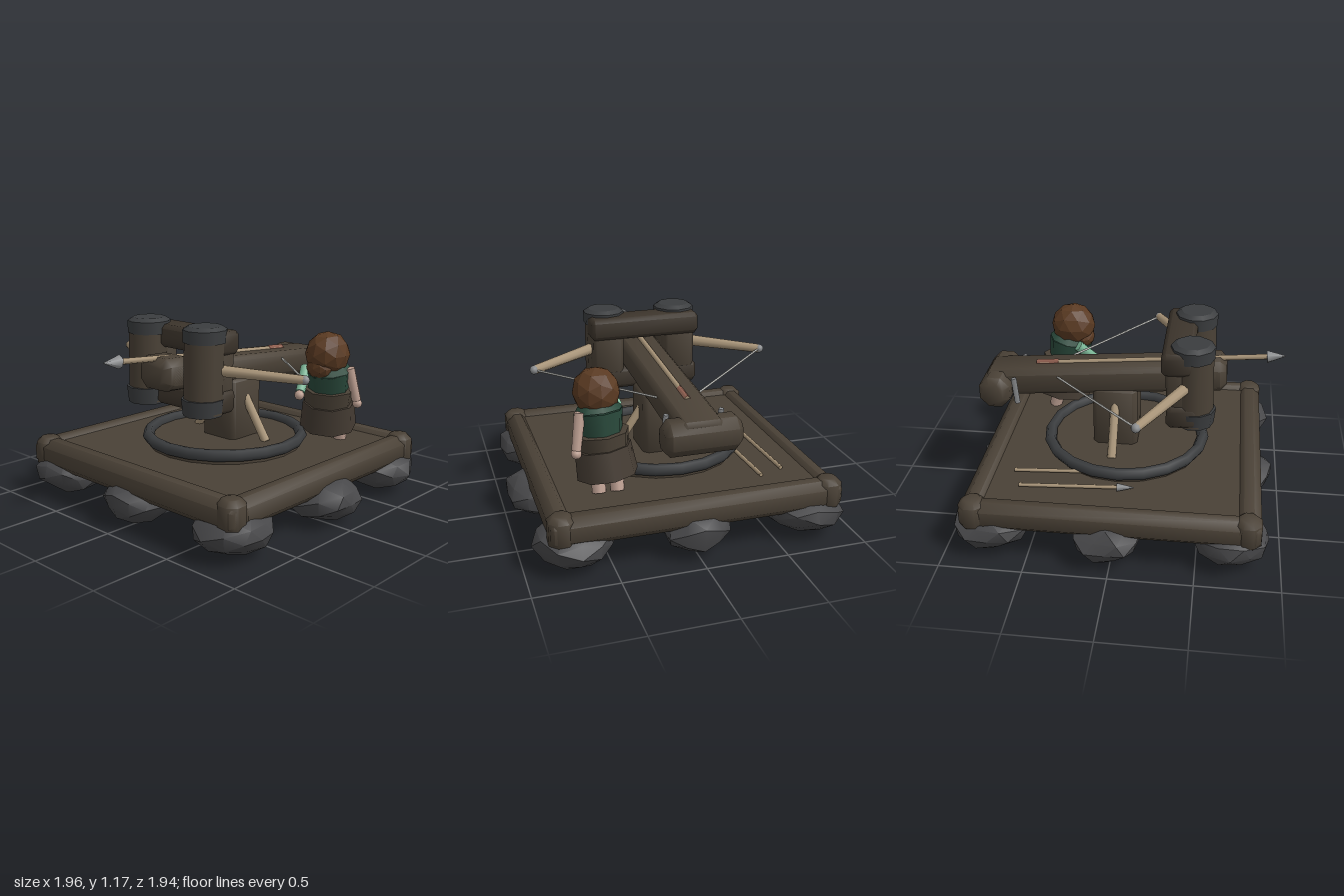
import * as THREE from 'three';
import { toCreasedNormals } from 'three/addons/utils/BufferGeometryUtils.js';

const mat = (color, flatShading = false) => new THREE.MeshStandardMaterial({ color, flatShading });
const V = (a) => new THREE.Vector3(...a);

export function createModel() {
  const root = new THREE.Group();
  const wood = mat(0x4a4136), darkWood = mat(0x3d352c), pale = mat(0xa89478), stone = mat(0x48484a);
  const iron = mat(0x3b3d3f), steel = mat(0x8a8c8e), cord = mat(0xb4b4b0), skin = mat(0xc0a294);
  const hair = mat(0x5a3a22, true), green = mat(0x2a4a3c), mint = mat(0x7cb898), leather = mat(0x453c33);
  const red = mat(0x9a6656);

  const add = (name, geo, material, pos = [0, 0, 0]) => {
    const m = new THREE.Mesh(geo, material);
    m.name = name;
    m.position.set(...pos);
    root.add(m);
    return m;
  };

  // Timber with softened edges, running from a to b
  const beam = (name, a, b, w, h, material = wood, c = 0.03, e = 0.02) => {
    const x = w / 2, y = h / 2, len = V(a).distanceTo(V(b));
    const s = new THREE.Shape([
      [x - c, -y], [x, -y + c], [x, y - c], [x - c, y], [c - x, y], [-x, y - c], [-x, c - y], [c - x, -y],
    ].map(([u, v]) => new THREE.Vector2(u, v)));
    const g = new THREE.ExtrudeGeometry(s, {
      depth: len - 2 * e, bevelEnabled: true, bevelSegments: 1, bevelThickness: e, bevelSize: e, bevelOffset: -e,
    });
    g.translate(0, 0, e);
    const m = add(name, toCreasedNormals(g, 0.9), material, a);
    m.lookAt(V(b));
    return m;
  };

  // Round rod from a (radius ra) to b (radius rb)
  const rod = (name, a, b, ra, rb, material, sides = 8) => {
    const d = V(b).sub(V(a));
    const g = new THREE.CylinderGeometry(rb, ra, d.length(), sides);
    const m = add(name, g, material, V(a).add(V(b)).multiplyScalar(0.5).toArray());
    m.quaternion.setFromUnitVectors(new THREE.Vector3(0, 1, 0), d.normalize());
    return m;
  };

  const bolt = (name, tail, tip, r, headLength, headRadius) => {
    const neck = V(tip).lerp(V(tail), headLength / V(tip).distanceTo(V(tail))).toArray();
    rod(name + 'Shaft', tail, neck, r, r, pale, 6);
    rod(name + 'Head', neck, tip, headRadius, 0.004, steel, 6);
  };

  // Foundation stones: lumpy, widest above the middle and tapering to the ground
  const rock = (x, z, rx, rz, seed) => {
    const g = new THREE.IcosahedronGeometry(1, 1), p = g.attributes.position;
    for (let i = 0; i < p.count; i++) {
      const [px, py, pz] = [p.getX(i), p.getY(i), p.getZ(i)];
      const k = Math.sin(Math.round(px * 50) * 1.3 + Math.round(py * 50) * 2.7
        + Math.round(pz * 50) * 4.1 + seed) * 0.07 + 0.98;
      const taper = k * (1 + 0.12 * py);
      p.setXYZ(i, px * taper * rx, py * k * 0.137, pz * taper * rz);
    }
    add('foundationStone', toCreasedNormals(g, 0.6), stone, [x, 0.145, z]);
  };
  [[-0.71, -0.72, 0.245, 0.24], [-0.01, -0.75, 0.215, 0.225], [0.7, -0.71, 0.245, 0.235],
    [-0.76, -0.02, 0.24, 0.215], [0.76, -0.03, 0.24, 0.23],
    [-0.71, 0.7, 0.24, 0.225], [-0.01, 0.74, 0.215, 0.225], [0.7, 0.7, 0.24, 0.23],
  ].forEach(([x, z, rx, rz], i) => rock(x, z, rx, rz, i * 2.3));

  // Platform
  add('deck', new THREE.BoxGeometry(1.56, 0.13, 1.56), wood, [-0.01, 0.275, -0.01]);
  for (const z of [-0.815, 0.795]) beam('edgeBeam', [-0.89, 0.275, z], [0.86, 0.275, z], 0.15, 0.18, wood, 0.045);
  for (const x of [-0.82, 0.79]) beam('sideBeam', [x, 0.275, -0.88], [x, 0.275, 0.86], 0.14, 0.18, wood, 0.045);
  for (const x of [-0.82, 0.79]) {
    for (const z of [-0.815, 0.795]) beam('cornerPost', [x, 0.18, z], [x, 0.375, z], 0.155, 0.155, wood, 0.045, 0.03);
  }

  // Turntable disc and its iron rim
  add('turntable', new THREE.CylinderGeometry(0.495, 0.495, 0.05, 20), wood, [-0.01, 0.36, 0]);
  const ring = add('turntableRim', new THREE.TorusGeometry(0.495, 0.037, 6, 20), iron, [-0.01, 0.395, 0]);
  ring.rotation.x = Math.PI / 2;

  // Central post and its braces
  beam('post', [-0.005, 0.33, -0.06], [-0.005, 0.775, -0.06], 0.28, 0.28, wood, 0.03);
  for (const s of [-1, 1]) rod('brace', [s * 0.3 - 0.01, 0.38, -0.06], [s * 0.1 - 0.01, 0.68, -0.06], 0.028, 0.028, pale);

  // Sloping stock with rounded nose and winding roller
  beam('stock', [-0.01, 0.76, -0.87], [-0.01, 0.88, 0.58], 0.26, 0.17, wood, 0.03);
  beam('noseBlock', [-0.01, 0.875, 0.4], [-0.01, 0.885, 0.625], 0.26, 0.195, wood, 0.045, 0.04);
  beam('windingRoller', [-0.245, 0.745, -0.805], [0.21, 0.745, -0.805], 0.19, 0.2, wood, 0.055, 0.035);
  for (const x of [-0.18, 0.15]) rod('triggerPin', [x, 0.665, -0.67], [x, 0.835, -0.685], 0.018, 0.018, steel, 4);

  // Bow frame: capped columns joined by rails
  for (const x of [-0.25, 0.23]) {
    rod('column', [x, 0.66, 0.435], [x, 1.14, 0.42], 0.122, 0.122, wood, 10);
    rod('lowerCap', [x, 0.65, 0.44], [x, 0.75, 0.44], 0.12, 0.13, iron, 10);
    rod('upperCap', [x, 1.08, 0.42], [x, 1.155, 0.42], 0.13, 0.132, iron, 10);
    rod('capTop', [x, 1.155, 0.42], [x, 1.175, 0.42], 0.132, 0.1, iron, 10);
    beam('upright', [x, 0.68, 0.36], [x, 1.12, 0.34], 0.2, 0.16, wood, 0.02);
  }
  beam('upperRail', [-0.37, 1.07, 0.335], [0.345, 1.07, 0.335], 0.19, 0.14, darkWood, 0.025);
  beam('lowerRail', [-0.37, 0.725, 0.37], [0.345, 0.725, 0.37], 0.19, 0.14, darkWood, 0.025);

  // Bow arms, tips and string
  for (const s of [-1, 1]) {
    const tip = [s * 0.755 - 0.01, 0.888, 0.14];
    rod('bowArm', [s * 0.28 - 0.01, 0.92, 0.41], tip, 0.037, 0.028, pale);
    add('bowTip', new THREE.IcosahedronGeometry(0.029, 1), steel, tip);
    rod('bowString', tip, [s * 0.1 - 0.01, 0.835, -0.44], 0.007, 0.007, cord, 5);
  }

  // Loaded bolt, and spares on the deck
  bolt('loadedBolt', [-0.015, 0.868, -0.57], [-0.015, 1.005, 0.97], 0.018, 0.11, 0.042);
  rod('boltFletching', [-0.015, 0.872, -0.57], [-0.015, 0.885, -0.43], 0.02, 0.02, red, 4);
  bolt('spareBolt', [-0.625, 0.355, -0.58], [-0.59, 0.365, 0.11], 0.013, 0.1, 0.028);
  rod('spareBoltShaft', [-0.47, 0.355, -0.64], [-0.445, 0.36, -0.2], 0.013, 0.013, pale, 6);

  // Crewman: legs, wide skirt and belt, narrower body, head and arms
  for (const x of [0.4, 0.51]) rod('leg', [x, 0.34, -0.55], [x, 0.47, -0.51], 0.042, 0.045, skin);
  rod('tunicSkirt', [0.445, 0.43, -0.5], [0.465, 0.6, -0.475], 0.183, 0.168, leather);
  rod('belt', [0.46, 0.57, -0.475], [0.47, 0.69, -0.465], 0.15, 0.165, wood);
  rod('torso', [0.47, 0.65, -0.465], [0.48, 0.81, -0.44], 0.125, 0.145, green);
  rod('shoulders', [0.48, 0.81, -0.44], [0.485, 0.88, -0.425], 0.145, 0.09, green);
  const head = add('head', new THREE.IcosahedronGeometry(0.147, 1), hair, [0.485, 0.92, -0.42]);
  head.scale.set(0.95, 0.97, 1);
  const beard = add('beard', new THREE.IcosahedronGeometry(0.075, 1), hair, [0.48, 0.84, -0.345]);
  beard.scale.set(1.2, 0.95, 0.9);
  rod('leftArm', [0.6, 0.83, -0.5], [0.635, 0.62, -0.54], 0.034, 0.03, skin);
  add('leftHand', new THREE.IcosahedronGeometry(0.032, 1), skin, [0.637, 0.6, -0.545]);
  rod('rightArm', [0.355, 0.82, -0.37], [0.415, 0.69, -0.24], 0.036, 0.03, mint);
  add('rightHand', new THREE.IcosahedronGeometry(0.032, 1), skin, [0.42, 0.675, -0.225]);

  return root;
}
